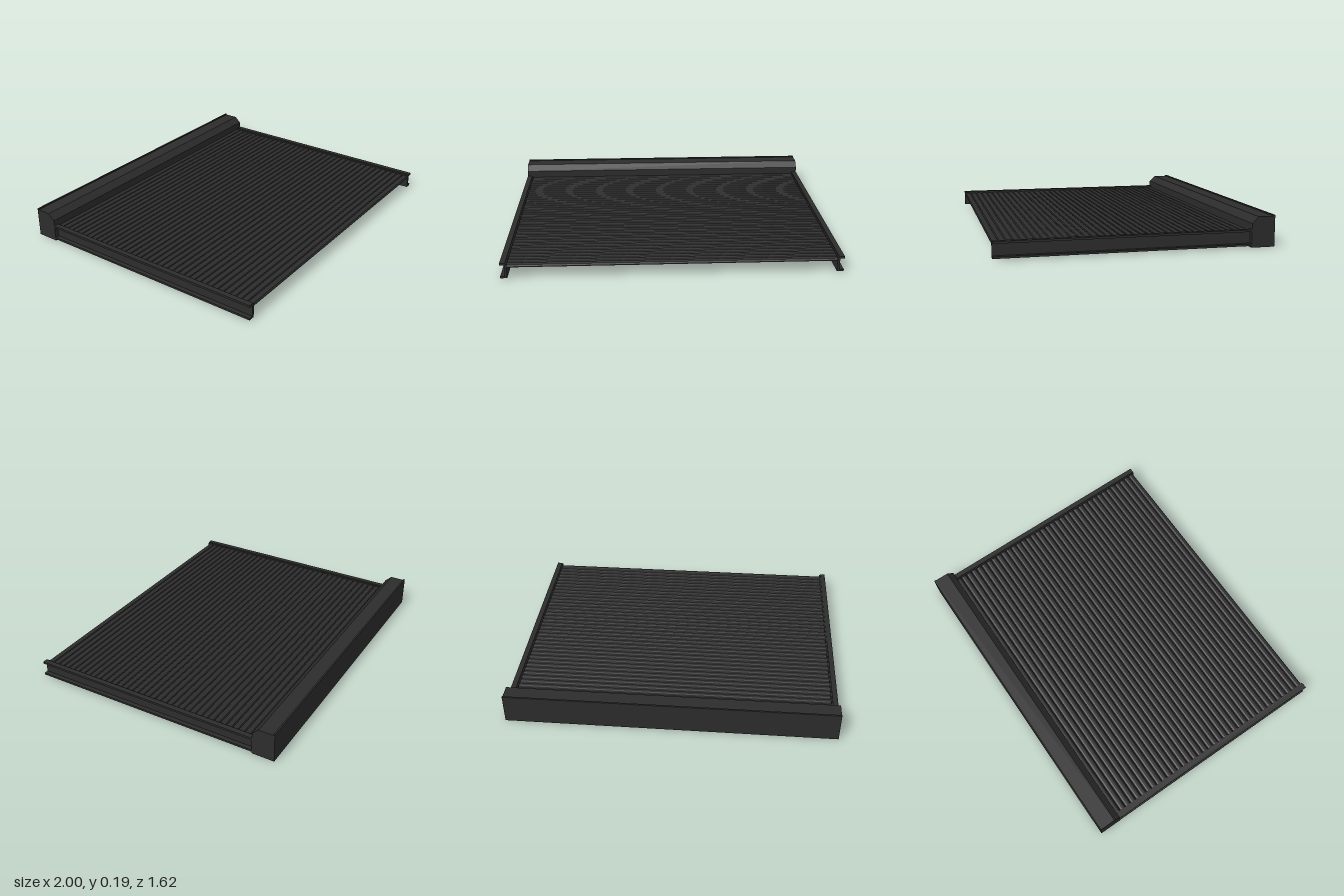
import * as THREE from 'three';

const material = new THREE.MeshStandardMaterial({ color: 0x2c2c2c });

function outline(points) {
  return new THREE.Shape(points.map(([a, b]) => new THREE.Vector2(a, b)));
}

// Sweeps a (z, y) outline across the width, centred on x = 0
function sweepAcross(name, points, width) {
  const geo = new THREE.ExtrudeGeometry(outline(points), { depth: width, bevelEnabled: false });
  geo.translate(0, 0, -width / 2).rotateY(-Math.PI / 2);
  const mesh = new THREE.Mesh(geo, material);
  mesh.name = name;
  return mesh;
}

// Sweeps an (x, y) outline along z
function sweepAlong(name, points, z0, z1) {
  const geo = new THREE.ExtrudeGeometry(outline(points), { depth: z1 - z0, bevelEnabled: false });
  geo.translate(0, 0, z0);
  const mesh = new THREE.Mesh(geo, material);
  mesh.name = name;
  return mesh;
}

export function createModel() {
  const model = new THREE.Group();
  model.name = 'rollerCover';

  const back = -0.81, housingFront = -0.67, front = 0.81;

  // Canister at the back: chamfered front top edge and a thin lip on the rear edge
  model.add(sweepAcross('housing', [
    [back, 0], [housingFront, 0], [housingFront, 0.14], [-0.71, 0.178],
    [-0.8, 0.178], [-0.8, 0.185], [back, 0.185],
  ], 2));

  // Shallow panel on the canister's front, below the curtain
  const panel = new THREE.Mesh(new THREE.BoxGeometry(1.91, 0.06, 0.006), material);
  panel.name = 'housingPanel';
  panel.position.set(0, 0.057, housingFront + 0.003);
  model.add(panel);

  // Side rails: channels opening outward, with a small step on the top inner edge
  const rail = [
    [0.96, 0.01], [1, 0.01], [1, 0.022], [0.974, 0.022], [0.974, 0.092],
    [1, 0.092], [1, 0.105], [0.968, 0.105], [0.968, 0.099], [0.96, 0.099],
  ];
  const mirrored = rail.map(([x, y]) => [-x, y]);
  model.add(sweepAlong('leftRail', rail, housingFront, front));
  model.add(sweepAlong('rightRail', mirrored, housingFront, front));

  // Slatted curtain: flat underside, each slat gently crowned with a groove between
  const slats = 37, start = housingFront - 0.01, end = front - 0.005;
  const pitch = (end - start) / slats;
  const crown = [[0, 0.083], [0.1, 0.09], [0.35, 0.094], [0.65, 0.094], [0.9, 0.09]];
  const curtain = [[end, 0.083], [end, 0.076], [start, 0.076]];
  for (let i = 0; i < slats; i++) {
    for (const [t, y] of crown) curtain.push([start + (i + t) * pitch, y]);
  }
  model.add(sweepAcross('slattedCurtain', curtain, 1.92));

  return model;
}
